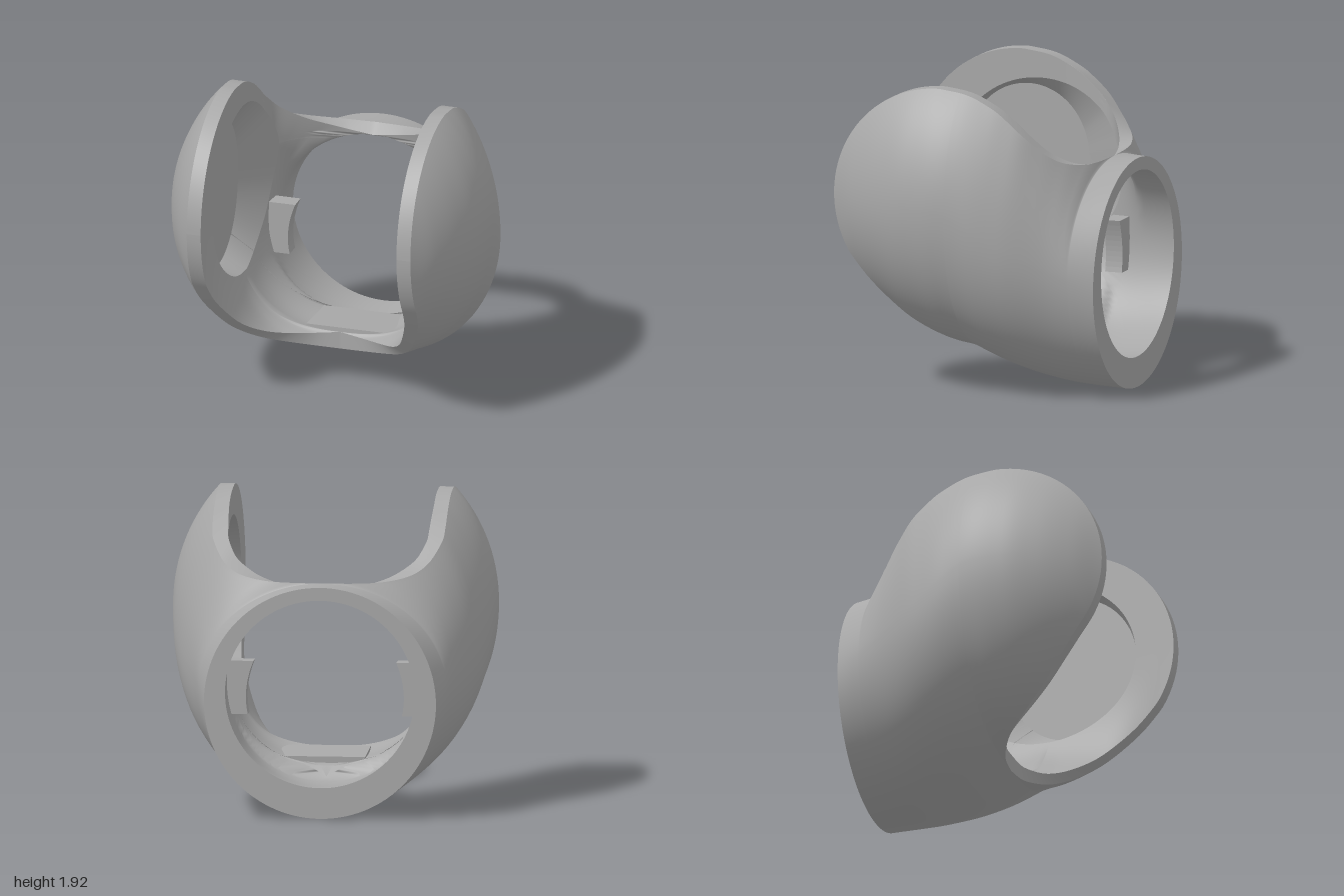
import * as THREE from 'three';

// Monotone smooth curve through [z, value] pairs
function curve(pts) {
  const d = pts.slice(1).map((p, i) => (p[1] - pts[i][1]) / (p[0] - pts[i][0]));
  const m = pts.map((p, i) => {
    if (i === 0) return d[0];
    if (i === pts.length - 1) return d[i - 1];
    return d[i - 1] * d[i] <= 0 ? 0 : (2 * d[i - 1] * d[i]) / (d[i - 1] + d[i]);
  });
  return (z) => {
    let i = 0;
    while (i < pts.length - 2 && z > pts[i + 1][0]) i++;
    const h = pts[i + 1][0] - pts[i][0];
    const t = Math.min(1, Math.max(0, (z - pts[i][0]) / h));
    const t2 = t * t, t3 = t2 * t;
    return (2 * t3 - 3 * t2 + 1) * pts[i][1] + (t3 - 2 * t2 + t) * h * m[i]
      + (3 * t2 - 2 * t3) * pts[i + 1][1] + (t3 - t2) * h * m[i + 1];
  };
}

const BACK = -0.86, SADDLE = -0.71, INNER_SADDLE = -0.65, LIP = 0.02, FRONT = 0.855;

// Side outline: a round lobe at the front, flowing into the back opening
const lobe = (z) => Math.sqrt(Math.max(0, 0.49 - (z - 0.155) ** 2));
const bellyY = curve([[BACK, 0], [-0.6, 0.02], [-0.4, 0.06], [-0.2, 0.125], [LIP, 0.22], [0.2, 0.31],
  [0.4, 0.45], [0.6, 0.66], [0.75, 0.851]]);
const neckY = curve([[BACK, 1.43], [SADDLE, 1.435], [-0.6, 1.475], [-0.5, 1.55], [-0.4, 1.65], [-0.3, 1.74],
  [-0.2, 1.815], [0, 1.9], [0.155, 1.92]]);
const bottomY = (z) => (z < 0.75 ? bellyY(z) : 1.22 - lobe(z));
const topY = (z) => (z < 0.155 ? neckY(z) : 1.22 + lobe(z));

// Rim half-widths and greatest half-widths along z
const bottomEdge = curve([[BACK, 0], [LIP, 0], [0.03, 0.12], [0.07, 0.25], [0.15, 0.39], [0.3, 0.52],
  [0.45, 0.61], [0.68, 0.71], [0.76, 0.72], [FRONT, 0.72]]);
const topEdge = curve([[BACK, 0], [SADDLE, 0], [-0.7, 0.18], [-0.68, 0.33], [-0.6, 0.53], [-0.48, 0.655],
  [-0.35, 0.715], [-0.2, 0.72], [FRONT, 0.72]]);
const innerTopEdge = curve([[BACK, 0], [INNER_SADDLE, 0], [-0.64, 0.15], [-0.62, 0.27], [-0.55, 0.45],
  [-0.46, 0.57], [-0.35, 0.62], [-0.2, 0.63], [FRONT, 0.63]]);
const outerWide = curve([[BACK, 0.715], [-0.6, 0.8], [-0.3, 0.93], [-0.1, 0.98], [0.12, 1], [0.3, 0.985],
  [0.5, 0.93], [0.7, 0.835], [FRONT, 0.72]]);
const outerMid = curve([[BACK, 0.715], [-0.3, 0.97], [0.12, 1.2], [FRONT, 1.22]]);
const innerWide = curve([[BACK, 0.585], [-0.45, 0.61], [-0.1, 0.63], [FRONT, 0.63]]);
const innerMid = curve([[BACK, 0.775], [0, 0.85], [0.5, 1.08], [FRONT, 1.22]]);
const floorThick = curve([[BACK, 0.19], [-0.48, 0.15], [-0.44, 0.22], [LIP, 0.11], [FRONT, 0.11]]);
// below 1 the lower half of a section is fuller than an ellipse
const fullness = curve([[BACK, 1], [-0.4, 0.85], [LIP, 0.75], [0.15, 0.75], [0.45, 0.82], [FRONT, 1]]);

const outer = (z) => ({ z, w: outerWide(z), mid: outerMid(z), yb: bottomY(z), yt: topY(z), eb: bottomEdge(z), et: topEdge(z) });
const inner = (z) => {
  const eb = bottomEdge(z) * 0.875, et = innerTopEdge(z);
  return {
    z, w: innerWide(z), mid: innerMid(z), eb, et,
    yb: bottomY(z) + floorThick(z) * (1 - eb / 0.63), yt: topY(z) - 0.08 * (1 - et / 0.63),
  };
};
// One half of a section: its end height, fullness, and the angle where the rim cuts it off
function halfSection(s, low) {
  const p = low ? fullness(s.z) : 1, e = low ? s.eb : s.et;
  return { p, end: low ? s.yb : s.yt, cut: Math.acos(Math.min(0.9999, e / s.w) ** (1 / p)) };
}

// Point on a cross-section, u from -1 (bottom) to 1 (top)
function sectionPoint(s, u) {
  const { p, end, cut } = halfSection(s, u < 0), a = Math.abs(u) * cut;
  return [s.w * Math.max(0, Math.cos(a)) ** p, s.mid + (end - s.mid) * Math.sin(a) / Math.sin(cut), s.z];
}
// Half-width of the inner wall at a given height and depth
function innerX(y, z) {
  const s = inner(z), { p, end, cut } = halfSection(s, y < s.mid);
  const half = Math.abs(end - s.mid);
  const part = half < 1e-4 ? 0 : Math.min(1, Math.abs(y - s.mid) / half);
  return s.w * Math.max(0, 1 - (part * Math.sin(cut)) ** 2) ** (p / 2);
}

// Surface from rows of points; side -1 mirrors it in x
function surface(rows, side, flip) {
  const n = rows[0].length, index = [];
  for (let i = 0; i < rows.length - 1; i++) {
    for (let j = 0; j < n - 1; j++) {
      const a = i * n + j, b = a + 1, c = a + n, d = c + 1;
      if (flip === (side < 0)) index.push(a, b, c, b, d, c);
      else index.push(a, c, b, b, c, d);
    }
  }
  const g = new THREE.BufferGeometry();
  g.setAttribute('position', new THREE.Float32BufferAttribute(rows.flat().flatMap(([x, y, z]) => [side * x, y, z]), 3));
  g.setIndex(index);
  g.computeVertexNormals();
  // keep the shading even across the middle seam
  const p = g.attributes.position, nm = g.attributes.normal, v = new THREE.Vector3();
  for (let i = 0; i < p.count; i++) {
    if (Math.abs(p.getX(i)) > 1e-4) continue;
    v.fromBufferAttribute(nm, i).setX(0);
    if (v.lengthSq() > 1e-6) { v.normalize(); nm.setXYZ(i, v.x, v.y, v.z); }
  }
  return g;
}

export function createModel() {
  const model = new THREE.Group();
  model.name = 'shell';
  const grey = new THREE.MeshStandardMaterial({ color: 0xa8a8a8 });
  grey.name = 'grey';
  const add = (name, geometry, parent = model) => {
    const mesh = new THREE.Mesh(geometry, grey);
    mesh.name = name;
    parent.add(mesh);
    return mesh;
  };

  // Depth samples, closer together where the rims start and end
  const zs = [];
  for (let i = 0; i < 4; i++) zs.push(BACK + (SADDLE - BACK) * i / 4);
  for (let i = 0; i < 30; i++) zs.push(SADDLE + (LIP - SADDLE) * (i / 30) ** 1.6);
  for (let i = 0; i <= 36; i++) zs.push(LIP + (FRONT - LIP) * (1 - Math.cos(Math.PI * i / 36)) / 2);
  const us = Array.from({ length: 57 }, (_, i) => i / 28 - 1);
  const low = (s) => [s.eb, s.yb, s.z], high = (s) => [s.et, s.yt, s.z];
  // the inner edge of the saddle sits a little further forward
  const forward = (z) => (z < SADDLE
    ? BACK + (z - BACK) * (INNER_SADDLE - BACK) / (SADDLE - BACK)
    : FRONT - (FRONT - z) * (FRONT - INNER_SADDLE) / (FRONT - SADDLE));

  const outside = zs.map((z) => us.map((u) => sectionPoint(outer(z), u)));
  const backOuter = us.map((u) => sectionPoint(outer(BACK), u));
  const backInner = us.map((u) => sectionPoint(inner(BACK), u));

  // Rim loop: along the lower lip, round the lobe and back to the saddle
  const lipZs = zs.filter((z) => z >= LIP - 1e-6);
  const saddleZs = zs.filter((z) => z >= SADDLE - 1e-6).reverse();
  const rimOuter = [...lipZs.map((z) => low(outer(z))), ...saddleZs.map((z) => high(outer(z)))];
  const rimInner = [...lipZs.map((z) => low(inner(z))), ...saddleZs.map((z) => high(inner(forward(z))))];

  // Inner wall: rings from the cup's mouth out to the rim and back opening
  const border = [
    ...zs.map((z) => low(inner(z))),
    ...[...zs].reverse().map((z) => high(inner(forward(z)))),
    ...[...backInner].reverse(),
  ];
  const cy = 1.21, cz = 0.12, floorX = 0.74;
  const ring = (radius, x) => border.map(([, y, z]) => {
    const a = Math.atan2(y - cy, z - cz), r = radius(Math.cos(a));
    const py = cy + r * Math.sin(a), pz = cz + r * Math.cos(a);
    return [x ?? innerX(py, pz), py, pz];
  });
  // steep at the front, sloping out towards the back
  const mouth = ring((c) => 0.53 - 0.075 * c + 0.035 * c * c);
  const cupFloor = ring((c) => 0.47 + 0.05 * c - 0.06 * c * c, floorX);
  const wall = [];
  for (let i = 0; i <= 24; i++) {
    const t = 1 - (1 - i / 24) ** 2;
    wall.push(i === 24 ? border : border.map(([, y, z], j) => {
      const py = mouth[j][1] + (y - mouth[j][1]) * t, pz = mouth[j][2] + (z - mouth[j][2]) * t;
      return [innerX(py, pz), py, pz];
    }));
  }

  for (const side of [1, -1]) {
    const half = new THREE.Group();
    half.name = side > 0 ? 'leftHalf' : 'rightHalf';
    model.add(half);
    add('outerShell', surface(outside, side, false), half);
    add('rim', surface([rimOuter, rimInner], side, false), half);
    add('backRing', surface([backOuter, backInner], side, true), half);
    add('innerWall', surface(wall, side, true), half);
    add('cupWall', surface([cupFloor, mouth], side, true), half);
    add('cupFloor', surface([ring(() => 0, floorX), cupFloor], side, true), half);

    // Bracket with a hollowed inner edge
    const b = new THREE.Shape();
    b.moveTo(side * 0.64, 0.6);
    b.lineTo(side * 0.64, 0.93);
    b.lineTo(side * 0.44, 0.93);
    b.quadraticCurveTo(side * 0.51, 0.76, side * 0.475, 0.6);
    const bracket = new THREE.ExtrudeGeometry(b, { depth: 0.11, bevelEnabled: false, curveSegments: 10 });
    add('bracket', bracket, half).position.z = -0.56;
  }

  // Flat seat in the floor of the tube
  const seat = add('floorSeat', new THREE.BoxGeometry(0.56, 0.06, 0.36));
  seat.position.set(0.05, 0.3, -0.2);
  seat.rotation.x = -0.06;
  return model;
}
